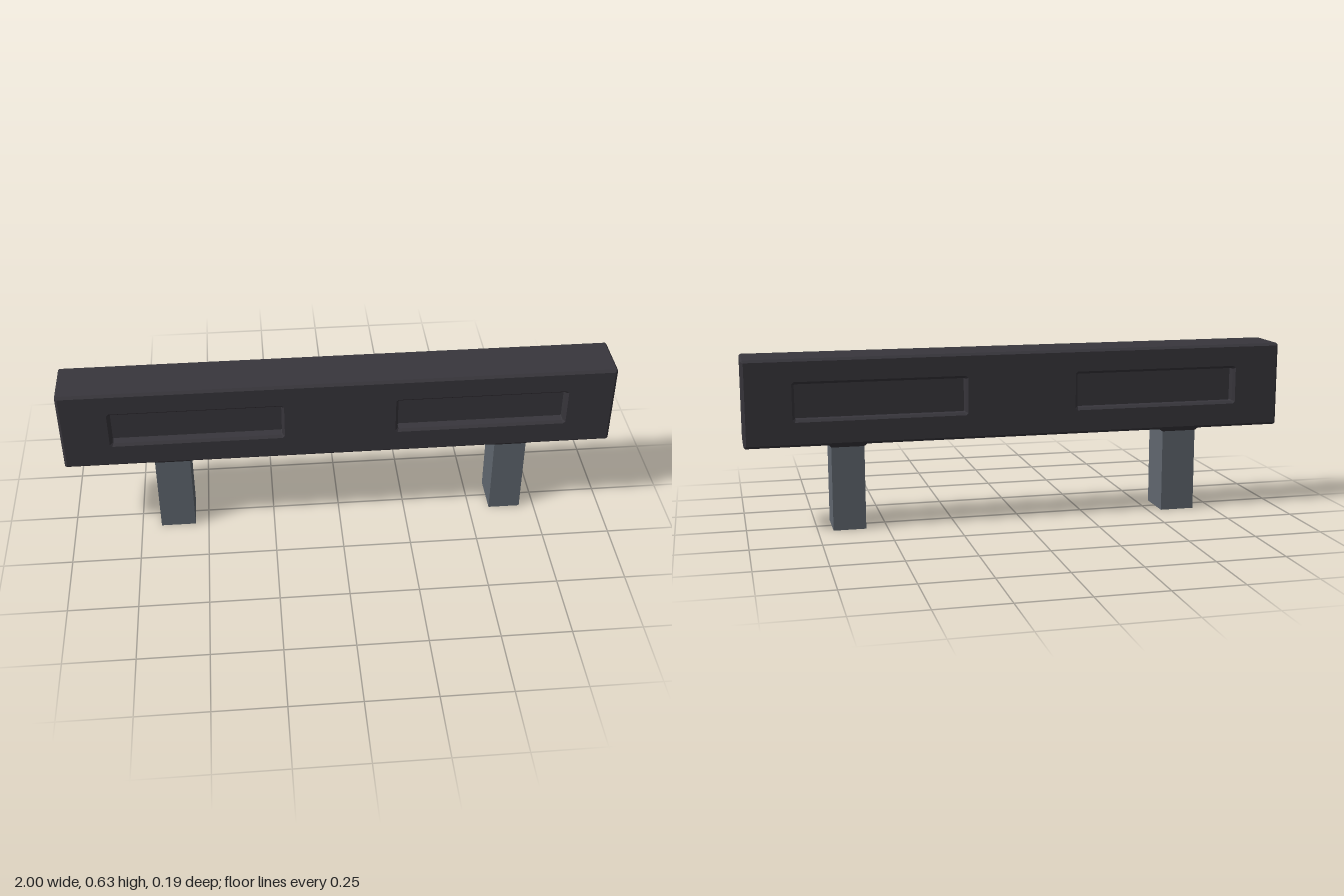
import * as THREE from 'three';

const charcoal = new THREE.MeshStandardMaterial({ color: 0x38363c });
charcoal.name = 'charcoal';
const steel = new THREE.MeshStandardMaterial({ color: 0x60676f, side: THREE.DoubleSide });
steel.name = 'steelGrey';

const BOTTOM = 0.317, TOP = 0.63, HALF_DEPTH = 0.095, BEVEL = 0.009;
const RECESS = { x: 0.515, y: 0.477, w: 0.61, h: 0.126, depth: 0.04 };

function add(group, name, geometry, material, x = 0, y = 0, z = 0) {
  const mesh = new THREE.Mesh(geometry, material);
  mesh.name = name;
  mesh.position.set(x, y, z);
  group.add(mesh);
  return mesh;
}

// Rectangle outline with clipped corners
function rectangle(Type, x0, y0, x1, y1, c) {
  return new Type([
    [x0 + c, y0], [x1 - c, y0], [x1, y0 + c], [x1, y1 - c],
    [x1 - c, y1], [x0 + c, y1], [x0, y1 - c], [x0, y0 + c],
  ].map(([x, y]) => new THREE.Vector2(x, y)));
}

// Four-sided tube without caps, wider or narrower at the top by `flare`
function squareTube(w, h, d, flare = 0) {
  const r = Math.SQRT1_2;
  const geometry = new THREE.CylinderGeometry(r, r, h, 4, 1, true, Math.PI / 4).toNonIndexed();
  const p = geometry.attributes.position;
  for (let i = 0; i < p.count; i++) {
    const grow = p.getY(i) > 0 ? 2 * flare : 0;
    p.setX(i, p.getX(i) * (w + grow));
    p.setZ(i, p.getZ(i) * (d + grow));
  }
  geometry.computeVertexNormals();
  return geometry;
}

export function createModel() {
  const model = new THREE.Group();
  model.name = 'barrier';

  // Bevelled beam with two openings
  const outline = rectangle(THREE.Shape, -1, BOTTOM, 1, TOP, 0.006);
  for (const side of [-1, 1]) {
    const cx = side * RECESS.x;
    outline.holes.push(rectangle(THREE.Path,
      cx - RECESS.w / 2, RECESS.y - RECESS.h / 2,
      cx + RECESS.w / 2, RECESS.y + RECESS.h / 2, 0.003));
  }
  const depth = 2 * (HALF_DEPTH - BEVEL);
  const beam = new THREE.ExtrudeGeometry(outline, {
    depth, bevelEnabled: true, bevelThickness: BEVEL, bevelSize: BEVEL,
    bevelOffset: -BEVEL, bevelSegments: 1,
  });
  beam.translate(0, 0, -depth / 2);
  add(model, 'beam', beam, charcoal);

  // Panels that close the openings, leaving a recess on the front and back
  for (const side of [-1, 1]) {
    add(model, 'recessPanel',
      new THREE.BoxGeometry(RECESS.w + 0.01, RECESS.h + 0.01, 2 * (HALF_DEPTH - RECESS.depth)),
      charcoal, side * RECESS.x, RECESS.y);
  }

  // Hollow square legs, each with a flared collar under the beam
  for (const [x, w] of [[-0.614, 0.128], [0.636, 0.118]]) {
    const leg = new THREE.Group();
    leg.name = x < 0 ? 'rightLeg' : 'leftLeg';
    leg.position.x = x;
    add(leg, 'post', squareTube(w, BOTTOM, 0.148), steel, 0, BOTTOM / 2);
    add(leg, 'collar', squareTube(w, 0.012, 0.15, 0.01), charcoal, 0, BOTTOM - 0.005);
    model.add(leg);
  }
  return model;
}
